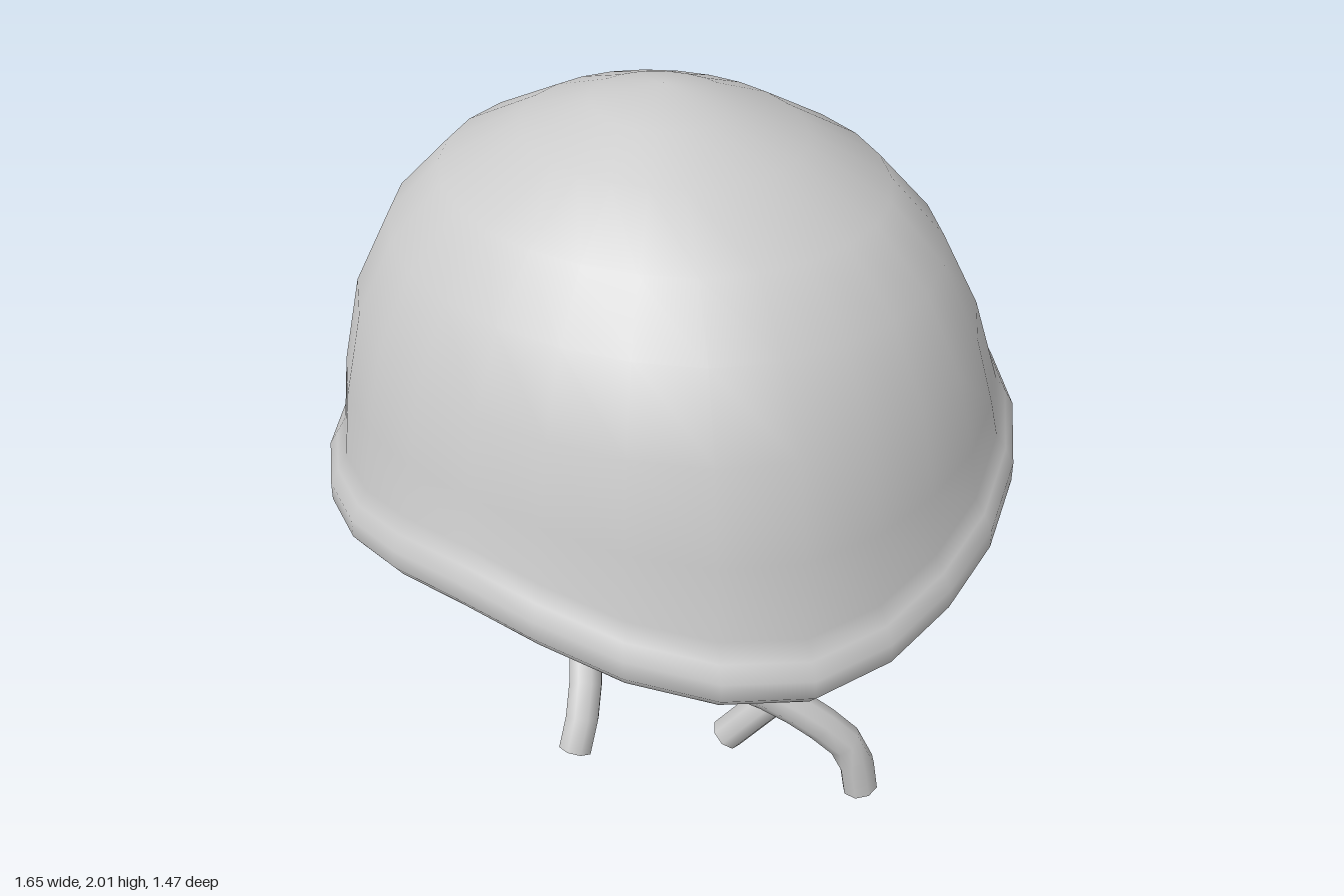
import * as THREE from 'three';
import { mergeVertices } from 'three/addons/utils/BufferGeometryUtils.js';

const material = new THREE.MeshStandardMaterial({ color: 0xcccccc });

// Height of the wavy rim's lower edge, every 30 degrees from the front towards +x
const RIM = [1.05, 0.975, 0.94, 1.03, 1.15, 1.185, 1.1, 1.075, 1.06, 1.02, 0.96, 0.99];

function rimHeight(angle) {
  const n = RIM.length;
  const u = (angle / (Math.PI * 2)) * n;
  const i = Math.floor(u);
  const f = u - i;
  const [a, b, c, d] = [-1, 0, 1, 2].map((k) => RIM[(i + k + n) % n]);
  return b + 0.5 * f * (c - a + f * (2 * a - 5 * b + 4 * c - d + f * (3 * (b - c) + d - a)));
}

// Closed bell: rows of [radius, base height, how far the row follows the rim wave]
function makeBell() {
  const rows = [
    // dome
    [0, 2, 0], [0.2, 1.96, 0], [0.39, 1.9, 0], [0.615, 1.8, 0], [0.765, 1.67, 0],
    [0.87, 1.5, 0.05], [0.925, 1.32, 0.4], [0.947, 1.2, 0.95],
    // rolled lip
    [0.975, 1.165, 1], [1, 1.13, 1], [1, 1.085, 1], [0.97, 1.055, 1], [0.92, 1.045, 1], [0.85, 1.065, 1],
    // underside membrane
    [0.6, 1.09, 0.75], [0.3, 1.1, 0.35], [0, 1.1, 0],
  ];
  const sides = 26;
  const positions = [];
  const index = [];
  rows.forEach(([r, y, follow], i) => {
    for (let j = 0; j < sides; j++) {
      const angle = (j / sides) * Math.PI * 2;
      const bulge = 1 + 0.065 * r * r * Math.exp(-(((angle - 0.85) / 0.4) ** 2));
      positions.push(
        0.828 * r * bulge * Math.sin(angle),
        y + follow * (rimHeight(angle) - 1.045),
        0.737 * r * bulge * Math.cos(angle),
      );
      if (i < rows.length - 1) {
        const a = i * sides + j;
        const b = i * sides + ((j + 1) % sides);
        index.push(a, a + sides, b + sides, a, b + sides, b);
      }
    }
  });
  let geometry = new THREE.BufferGeometry();
  geometry.setAttribute('position', new THREE.Float32BufferAttribute(positions, 3));
  geometry.setIndex(index);
  geometry = mergeVertices(geometry);
  geometry.computeVertexNormals();
  const bell = new THREE.Mesh(geometry, material);
  bell.name = 'bell';
  return bell;
}

// Wavy tentacle with a closed lower end
function makeTentacle(name, points) {
  const curve = new THREE.CatmullRomCurve3(points.map((p) => new THREE.Vector3(...p)));
  const radius = 0.047;
  const group = new THREE.Group();
  group.name = name;
  const tube = new THREE.Mesh(new THREE.TubeGeometry(curve, 18, radius, 8), material);
  tube.name = name + 'Tube';
  const tip = new THREE.Mesh(new THREE.CircleGeometry(radius, 8), material);
  tip.name = name + 'Tip';
  tip.position.copy(curve.getPoint(1));
  tip.quaternion.setFromUnitVectors(new THREE.Vector3(0, 0, 1), curve.getTangent(1));
  group.add(tube, tip);
  return group;
}

export function createModel() {
  const model = new THREE.Group();
  model.name = 'jellyfish';
  model.add(
    makeBell(),
    makeTentacle('rightTentacle', [
      [-0.2, 1.16, -0.22], [-0.25, 1.03, -0.2], [-0.42, 0.93, -0.14], [-0.6, 0.86, -0.06],
      [-0.67, 0.74, -0.05], [-0.675, 0.62, -0.06], [-0.6, 0.48, -0.1], [-0.42, 0.37, -0.17],
      [-0.32, 0.21, -0.08], [-0.275, 0.08, 0], [-0.275, 0.005, 0.03],
    ]),
    makeTentacle('frontTentacle', [
      [0.2, 1.14, 0.26], [0.15, 1, 0.25], [0.06, 0.88, 0.25], [-0.03, 0.76, 0.23],
      [-0.045, 0.63, 0.16], [0.01, 0.49, 0.06], [0.19, 0.37, -0.11], [0.32, 0.27, -0.2],
      [0.41, 0.15, -0.27], [0.43, 0.02, -0.29],
    ]),
    makeTentacle('leftTentacle', [
      [0.47, 1.24, -0.25], [0.44, 1.08, -0.26], [0.37, 0.95, -0.29], [0.27, 0.78, -0.38],
      [0.3, 0.62, -0.45], [0.315, 0.47, -0.46], [0.27, 0.33, -0.39], [0.15, 0.18, -0.29],
      [0.03, 0.02, -0.25],
    ]),
  );
  return model;
}
